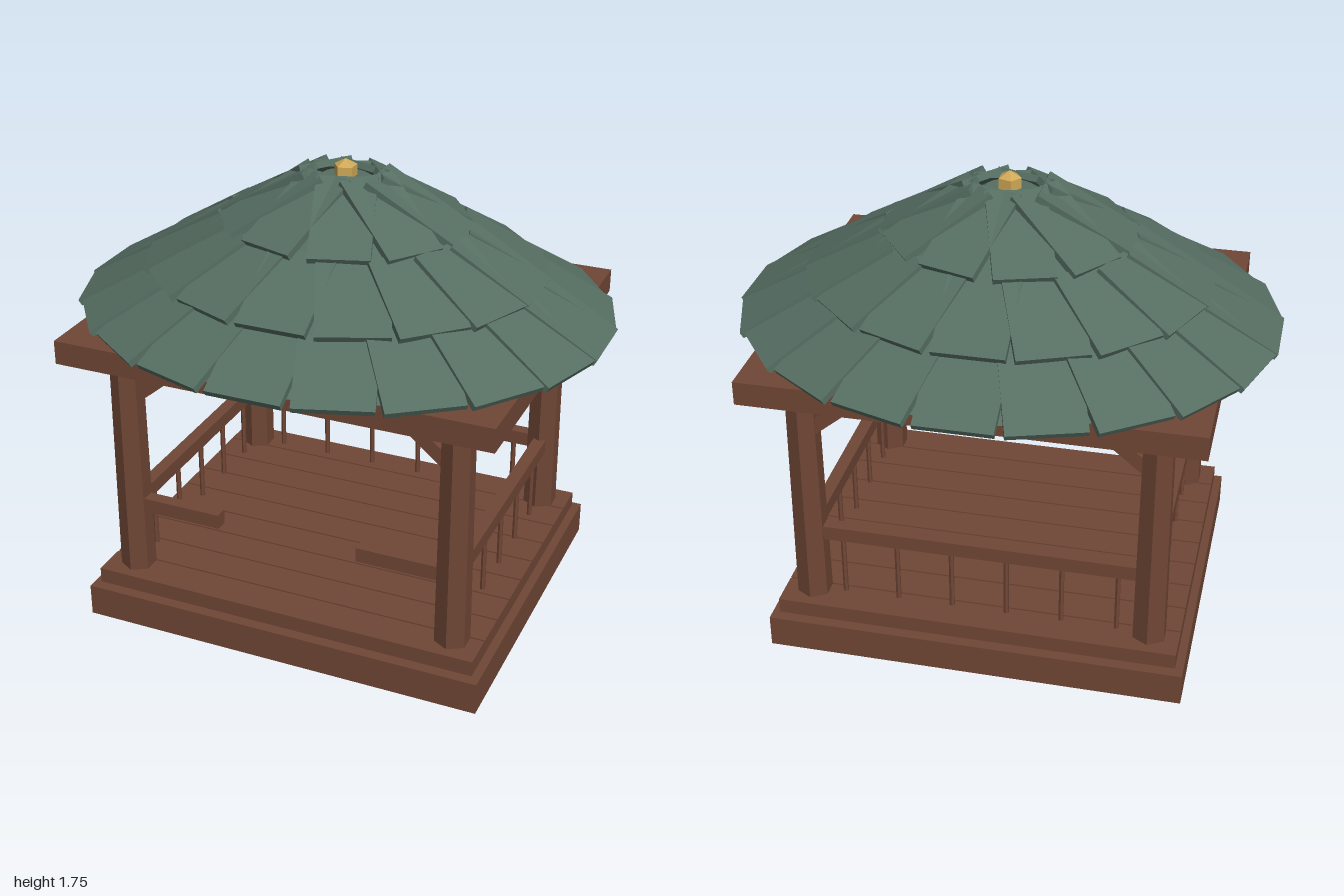
import * as THREE from 'three';

const material = (name, color) => {
  const m = new THREE.MeshStandardMaterial({ color, flatShading: true });
  m.name = name;
  return m;
};

export function createModel() {
  const wood = material('brown wood', 0x6f4635);
  const slate = material('green shingle', 0x566e62);
  const gold = material('gold', 0xd0a957);

  const model = new THREE.Group();
  model.name = 'gazebo';

  const add = (name, geometry, mat, x, y, z, parent = model) => {
    const mesh = new THREE.Mesh(geometry, mat);
    mesh.name = name;
    mesh.position.set(x, y, z);
    parent.add(mesh);
    return mesh;
  };
  const box = (name, w, h, d, x, y, z) =>
    add(name, new THREE.BoxGeometry(w, h, d), wood, x, y, z);

  // Plinth, deck planks and the slab that carries the roof
  box('plinth', 1.57, 0.125, 1.33, 0, 0.0625, 0);
  for (let i = -4; i <= 4; i++) {
    box('deckPlank', 1.51, 0.06, 0.134, 0, 0.162, i * 0.141);
  }
  box('roofSlab', 1.65, 0.09, 1.41, 0, 1.135, 0);

  // Tapered six-sided corner posts, each with a diagonal brace
  const postX = 0.643, postZ = 0.528;
  const postGeometry = new THREE.CylinderGeometry(0.06, 0.067, 0.93, 6);
  for (const sx of [-1, 1]) {
    for (const sz of [-1, 1]) {
      add('cornerPost', postGeometry, wood, sx * postX, 0.63, sz * postZ);
      const brace = box('brace', 0.27, 0.05, 0.05, sx * 0.52, 0.996, sz * postZ);
      brace.rotation.z = -sx * 0.69;
    }
  }

  // Railings: full at the back and sides, two short rails at the front
  const railY = 0.472, railH = 0.056;
  const balusterGeometry = new THREE.CylinderGeometry(0.01, 0.01, 0.25, 6);
  box('backRail', 1.18, railH, 0.05, 0, railY, -postZ);
  for (let i = 0; i < 6; i++) {
    add('backBaluster', balusterGeometry, wood, -0.52 + i * 0.208, 0.325, -postZ);
  }
  for (const s of [-1, 1]) {
    box('sideRail', 0.05, railH, 0.95, s * postX, railY, 0);
    box('frontRail', 0.31, railH, 0.05, s * 0.431, railY, postZ);
    for (let i = -2; i <= 2; i++) {
      add('sideBaluster', balusterGeometry, wood, s * postX, 0.325, i * 0.193);
    }
  }

  // Oval roof core beneath the shingles
  const core = add('roofCore', new THREE.CylinderGeometry(0.09, 0.93, 0.505, 20),
    slate, 0, 1.4325, 0);
  core.scale.z = 0.86;

  // Three rings of sloping shingles set out on ovals
  const thickness = 0.025;
  const rings = [
    { count: 20, outer: 1.0, inner: 0.71, low: 1.2, high: 1.37, width: 0.28 },
    { count: 16, outer: 0.745, inner: 0.455, low: 1.358, high: 1.53, width: 0.26 },
    { count: 10, outer: 0.455, inner: 0.125, low: 1.53, high: 1.712, width: 0.22 },
  ];
  for (const r of rings) {
    const run = r.outer - r.inner, rise = r.high - r.low;
    const slope = Math.atan2(rise, run);
    const geometry = new THREE.BoxGeometry(Math.hypot(run, rise), thickness, r.width);
    geometry.translate(0, -thickness / 2, 0);
    geometry.rotateZ(-slope);
    const mid = (r.outer + r.inner) / 2;
    const ring = new THREE.Group();
    ring.name = 'shingleRing';
    model.add(ring);
    for (let i = 0; i < r.count; i++) {
      const a = (i / r.count) * Math.PI * 2;
      const shingle = add('shingle', geometry, slate, mid * Math.cos(a),
        (r.low + r.high) / 2, mid * 0.85 * Math.sin(a), ring);
      shingle.rotation.y = -a;
    }
  }

  // Faceted finial
  add('finial', new THREE.SphereGeometry(0.05, 5, 3), gold, 0, 1.7, 0);

  return model;
}
